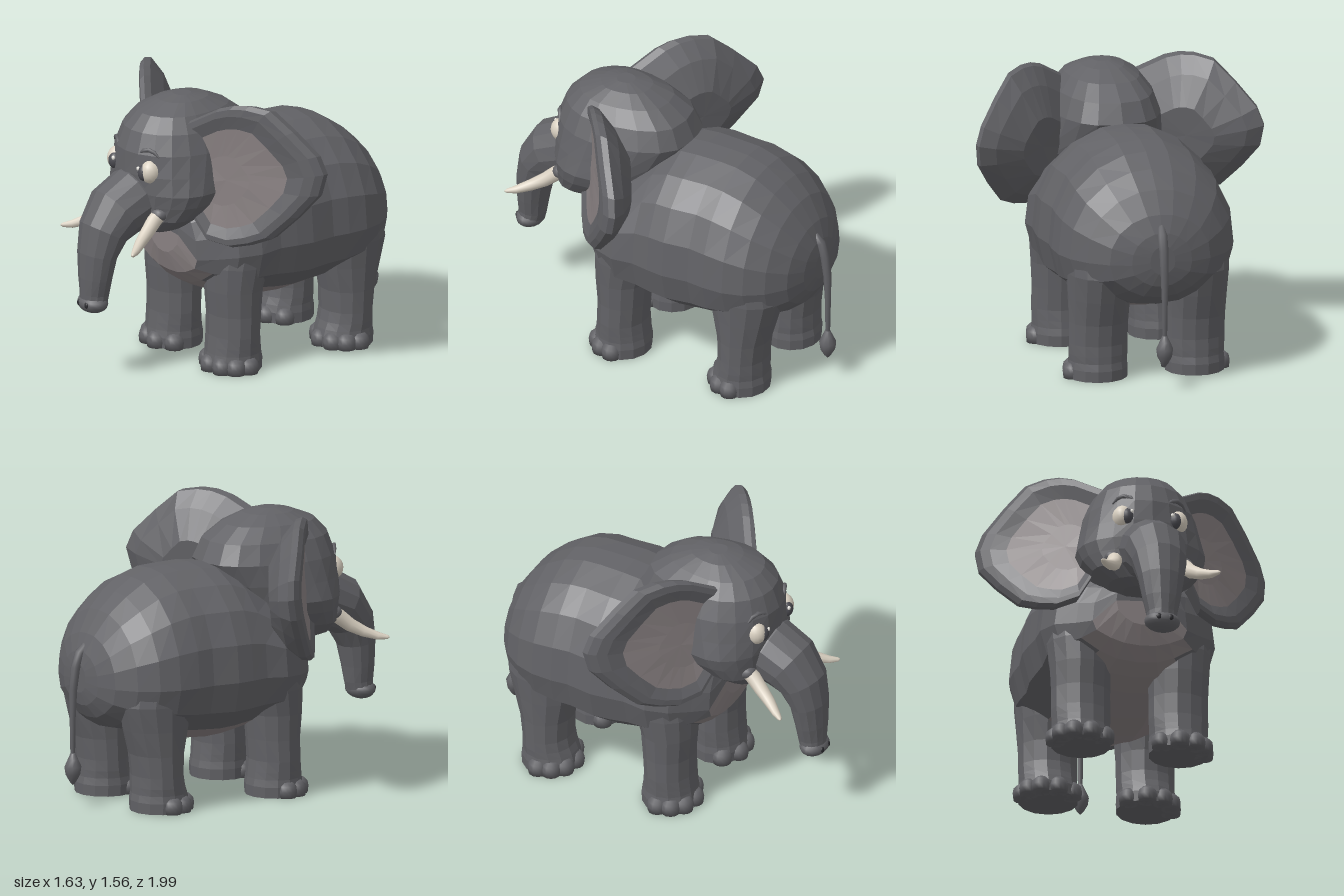
import * as THREE from 'three';

const mat = (name, color) => Object.assign(new THREE.MeshStandardMaterial({ color }), { name });
const V = (x, y, z) => new THREE.Vector3(x, y, z);

export function createModel() {
  const root = new THREE.Group();
  root.name = 'elephant';
  const skin = mat('grey skin', 0x626266), pink = mat('taupe skin', 0x888081);
  const ivory = mat('ivory', 0xdad1c2), pupilMat = mat('pupil grey', 0x4c4c52);
  const white = mat('highlight white', 0xf4f1ea), dark = mat('nostril dark', 0x2c2c30);

  // Skins a stack of closed rings and caps both ends; isSecond(row, col) picks faces for the second material
  function loft(name, rings, material, { smooth = false, isSecond = null, second = null } = {}) {
    const n = rings[0].length, verts = rings.flat(), faces = [];
    const last = rings.length - 1;
    for (let r = 0; r < last; r++) for (let c = 0; c < n; c++) {
      const a = r * n + c, b = r * n + (c + 1) % n;
      faces.push([a, b, b + n, r, c], [a, b + n, a + n, r, c]);
    }
    for (const [r, flip] of [[0, true], [last, false]]) {
      const mid = verts.length;
      verts.push(rings[r].reduce((s, p) => s.add(p), V(0, 0, 0)).divideScalar(n));
      for (let c = 0; c < n; c++) {
        const a = r * n + c, b = r * n + (c + 1) % n;
        faces.push(flip ? [b, a, mid, -1, c] : [a, b, mid, r, c]);
      }
    }
    // Turn every face outwards
    const volume = faces.reduce((s, [a, b, c]) => s + verts[a].dot(verts[b].clone().cross(verts[c])), 0);
    if (volume < 0) faces.forEach(f => { [f[0], f[1]] = [f[1], f[0]]; });
    const group = new THREE.Group();
    group.name = name;
    for (const pick of second ? [false, true] : [false]) {
      const used = faces.filter(f => !second || isSecond(f[3], f[4]) === pick);
      let g = new THREE.BufferGeometry().setFromPoints(verts);
      g.setIndex(used.flatMap(f => f.slice(0, 3)));
      if (!smooth) g = g.toNonIndexed();
      g.computeVertexNormals();
      const mesh = new THREE.Mesh(g, pick ? second : material);
      mesh.name = name + (pick ? 'Patch' : 'Surface');
      group.add(mesh);
    }
    root.add(group);
  }

  // Tapered tube through rows of [x, y, z, sideRadius, depthRadius]
  function tube(name, rows, material, n, options) {
    const pts = rows.map(p => V(p[0], p[1], p[2]));
    loft(name, rows.map((p, i) => {
      const t = pts[Math.min(i + 1, pts.length - 1)].clone().sub(pts[Math.max(i - 1, 0)]).normalize();
      const side = V(1, 0, 0).addScaledVector(t, -t.x).normalize();
      const up = t.clone().cross(side);
      return Array.from({ length: n }, (_, k) => {
        const a = k / n * Math.PI * 2;
        return pts[i].clone().addScaledVector(side, Math.cos(a) * p[3])
          .addScaledVector(up, Math.sin(a) * (p[4] ?? p[3]));
      });
    }), material, options);
  }

  function ball(name, x, y, z, rx, ry, rz, material, segs = 14) {
    const mesh = new THREE.Mesh(new THREE.SphereGeometry(1, segs, 10), material);
    mesh.name = name;
    mesh.position.set(x, y, z);
    mesh.scale.set(rx, ry, rz);
    root.add(mesh);
  }

  // Body: egg-shaped sections along z, with a taupe chest and belly
  const half = [[0, -1], [.33, -.95], [.62, -.76], [.92, -.44], [1, 0], [.96, .35], [.8, .65], [.55, .86], [.25, .98]];
  const section = [...half, [0, 1], ...half.slice(1).reverse().map(([x, t]) => [-x, t])];
  const bodyRows = [ // z, half width, top, bottom, widest height
    [.445, .14, .9, .64, .77], [.41, .265, .96, .53, .65], [.34, .34, 1.0, .46, .66], [.25, .44, 1.05, .41, .68],
    [.13, .49, 1.13, .37, .69], [0, .485, 1.23, .34, .7], [-.1, .5, 1.275, .325, .7], [-.2, .51, 1.285, .32, .7],
    [-.35, .49, 1.285, .33, .7], [-.45, .5, 1.28, .345, .7], [-.57, .495, 1.245, .38, .7], [-.68, .46, 1.175, .42, .7],
    [-.78, .39, 1.085, .44, .7], [-.86, .285, .965, .5, .7], [-.9, .17, .87, .57, .7], [-.915, .07, .8, .64, .71]];
  loft('body', bodyRows.map(([z, w, top, low, mid]) =>
    section.map(([x, t]) => V(x * w, mid + t * (t > 0 ? top - mid : mid - low), z))), skin, {
    second: pink,
    isSecond: (r, c) => r < 11 && Math.min(c, section.length - 1 - c) < (r < 1 ? 4 : r < 2 ? 3 : 2),
  });

  // Head: horizontal slices, widest at the cheeks, squarer at the back
  const headRows = [ // y, half width, front, back
    [.8, .12, .6, .42], [.83, .2, .655, .35], [.9, .29, .68, .26], [.98, .335, .69, .12], [1.05, .357, .7, .04],
    [1.15, .335, .705, -.04], [1.27, .31, .7, -.11], [1.38, .265, .66, -.06], [1.46, .2, .585, .05],
    [1.51, .12, .46, .17], [1.53, .05, .37, .27]];
  loft('head', headRows.map(([y, w, f, b]) => Array.from({ length: 20 }, (_, k) => {
    const a = k / 20 * Math.PI * 2, mid = b + (f - b) * .6, c = Math.cos(a), s = Math.sin(a);
    const x = c < 0 ? Math.sign(s) * Math.abs(s) ** .7 : s;
    return V(x * w, y, mid + c * (c > 0 ? f - mid : mid - b));
  })), skin);

  // Trunk with a lipped tip and nostrils
  tube('trunk', [
    [0, 1.02, .54, .17, .17], [0, .985, .645, .178, .18], [0, .93, .77, .174, .165], [0, .835, .85, .153, .13],
    [0, .71, .89, .128, .1], [0, .58, .903, .105, .086], [0, .49, .908, .085, .078], [0, .44, .915, .085, .07]], skin, 14);
  ball('trunkTip', 0, .44, .92, .1, .055, .077, skin);
  for (const s of [-1, 1]) ball('nostril', s * .033, .442, .988, .015, .017, .008, dark, 10);

  // Tail and tuft
  tube('tail', [[0, .9, -.87, .02], [0, .86, -.908, .027], [0, .78, -.935, .026], [0, .66, -.95, .023],
    [0, .5, -.953, .017], [0, .28, -.952, .013]], skin, 8, { smooth: true });
  tube('tailTuft', [[0, .31, -.951, .012], [0, .27, -.951, .03], [0, .23, -.951, .048], [0, .19, -.951, .042],
    [0, .15, -.951, .02], [0, .13, -.951, .004]], skin, 10, { smooth: true });

  const earOutline = [[.21, 1.44], [.35, 1.53], [.42, 1.555], [.49, 1.56], [.58, 1.54], [.68, 1.43], [.78, 1.3], [.815, 1.2],
    [.8, 1.08], [.72, .95], [.62, .82], [.54, .78], [.45, .755], [.34, .78], [.27, .9], [.22, 1.1], [.2, 1.28]];
  const earRings = [[.35, -.035], [.7, -.015], [.87, .015], [.96, .015], [1, -.01], [.98, -.055], [.78, -.155], [.42, -.265]];

  // Rounded toe with a flat sole
  const toeShape = new THREE.LatheGeometry(
    [[1e-4, 0], [.92, 0], [1, .4], [.9, .72], [.55, .94], [1e-4, 1]].map(p => new THREE.Vector2(...p)), 12);

  for (const s of [-1, 1]) {
    const sideName = s > 0 ? 'left' : 'right';

    // Ear: taupe front, thick rim, rounded back; bowed forward, upper part leaning back
    loft(sideName + 'Ear', earRings.map(([k, dz]) => earOutline.map(([ox, oy]) => {
      const x = .34 + (ox - .34) * k, y = 1.1 + (oy - 1.1) * k;
      const bow = .045 * Math.sin(Math.PI * (x - .2) / .615);
      return V(s * x, y, .43 - (x - .25) * .8 - .12 * Math.max(0, y - 1.1) + bow + dz);
    })), skin, { second: pink, isSecond: r => r < 1 });

    // Legs: elliptical slices, [y, z, side radius, depth radius]
    const legs = {
      FrontLeg: [[0, .175, .165, .155], [.06, .175, .168, .158], [.1, .175, .163, .15], [.14, .175, .165, .145], [.2, .175, .168, .138],
        [.32, .17, .166, .142], [.46, .17, .172, .155], [.6, .15, .185, .18], [.72, .12, .19, .19], [.84, .1, .14, .14]],
      BackLeg: [[0, -.57, .165, .16], [.06, -.57, .168, .163], [.1, -.572, .163, .153], [.14, -.58, .165, .145], [.2, -.585, .165, .138],
        [.32, -.59, .166, .148], [.46, -.595, .172, .185], [.6, -.6, .18, .22], [.8, -.58, .18, .2], [.92, -.56, .12, .14]],
    };
    for (const [leg, rows] of Object.entries(legs)) {
      loft(sideName + leg, rows.map(([y, z, rx, rz]) => Array.from({ length: 14 }, (_, k) => {
        const a = k / 14 * Math.PI * 2;
        return V(s * .274 + Math.cos(a) * rx, y, z + Math.sin(a) * rz);
      })), skin);
      // Toes round the front and outer side
      for (const deg of [92, 60, 28, -10, -54]) {
        const a = deg * Math.PI / 180, toe = new THREE.Mesh(toeShape, skin);
        toe.name = sideName + leg + 'Toe';
        toe.position.set(s * (.274 + Math.sin(a) * .142), 0, rows[0][1] + Math.cos(a) * .134);
        toe.scale.set(.056, .09, .056);
        root.add(toe);
      }
    }

    // Tusk in its socket
    ball(sideName + 'TuskSocket', s * .2, .94, .61, .05, .04, .052, skin);
    tube(sideName + 'Tusk', [[s * .195, .96, .58, .04], [s * .2, .91, .65, .042], [s * .218, .86, .71, .038],
      [s * .25, .82, .78, .031], [s * .295, .795, .845, .022], [s * .325, .79, .885, .012], [s * .333, .79, .893, .004]],
      ivory, 10, { smooth: true });

    // Eye, pupil, highlight and brow
    ball(sideName + 'Eye', s * .155, 1.177, .637, .055, .068, .062, ivory, 18);
    ball(sideName + 'Pupil', s * .136, 1.172, .671, .037, .047, .036, pupilMat, 16);
    ball(sideName + 'EyeHighlight', s * .115, 1.195, .697, .011, .012, .009, white, 8);
    tube(sideName + 'Brow', [[s * .09, 1.27, .675, .004], [s * .115, 1.292, .664, .011], [s * .15, 1.302, .65, .013],
      [s * .18, 1.29, .634, .011], [s * .205, 1.262, .62, .004]], skin, 8, { smooth: true });
  }
  return root;
}
